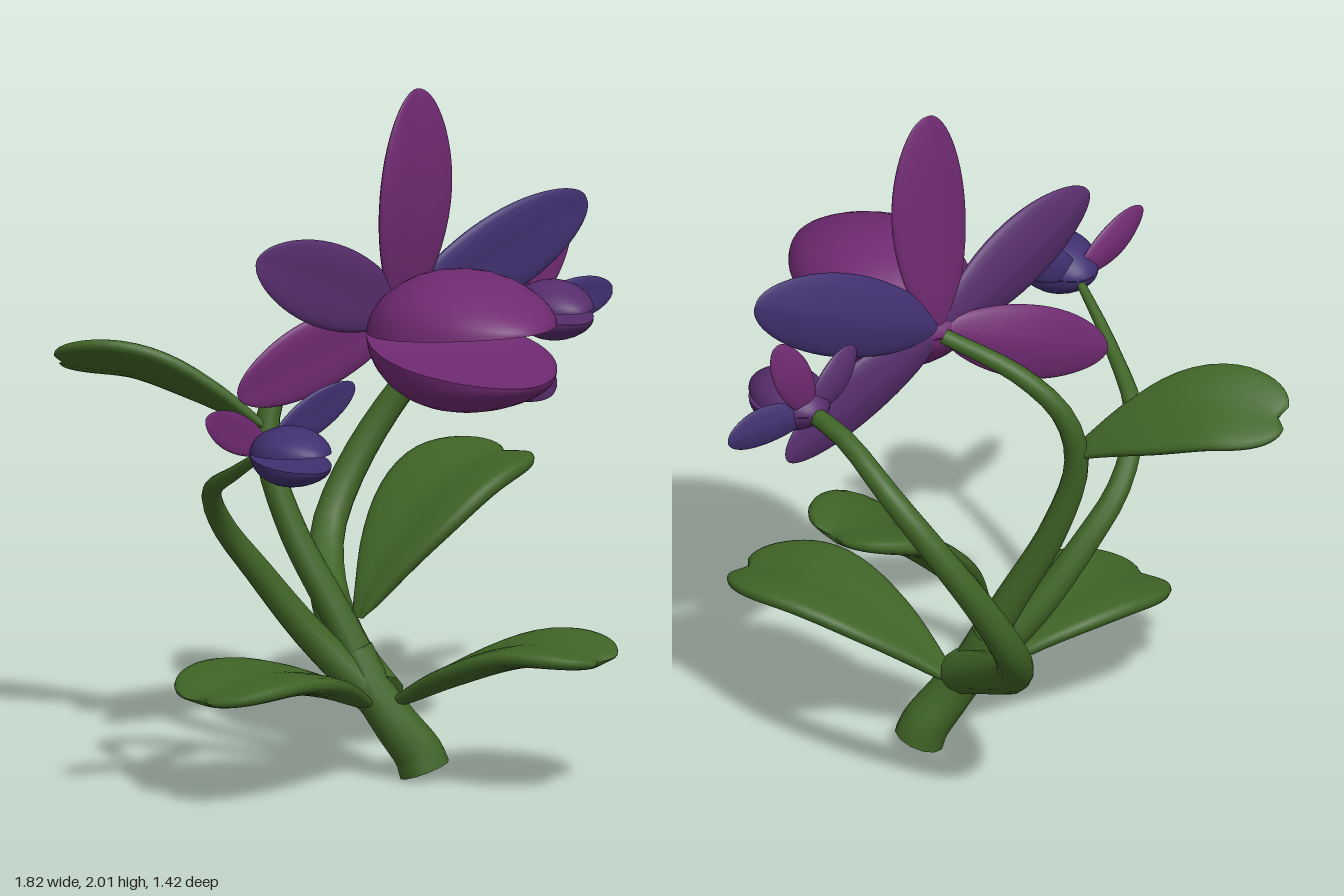
import * as THREE from 'three';
import { toCreasedNormals } from 'three/addons/utils/BufferGeometryUtils.js';

const mat = (color) => new THREE.MeshStandardMaterial({ color, side: THREE.DoubleSide });
const GREEN = mat(0x3f6426), PURPLE = mat(0x702a72), PLUM = mat(0x562d6c), VIOLET = mat(0x403070);
const V = (a) => new THREE.Vector3(...a);
const spline = (pts) => new THREE.CatmullRomCurve3(pts.map(V));

// Closed cross-sections joined along u; point(u, angle) gives each vertex
function loft(point, n, m, crease) {
  const pos = [], idx = [];
  for (let i = 0; i <= n; i++) {
    for (let j = 0; j < m; j++) {
      pos.push(...point(i / n, (j / m) * Math.PI * 2).toArray());
      if (i === n) continue;
      const a = i * m + j, d = i * m + ((j + 1) % m);
      idx.push(a, a + m, d + m, a, d + m, d);
    }
  }
  const geo = new THREE.BufferGeometry();
  geo.setAttribute('position', new THREE.Float32BufferAttribute(pos, 3));
  geo.setIndex(idx);
  geo.computeVertexNormals();
  return crease ? toCreasedNormals(geo, crease) : geo;
}

function add(parent, name, geo, material) {
  const mesh = new THREE.Mesh(geo, material);
  mesh.name = name;
  parent.add(mesh);
}

// Tapering tube with flat ends
function stem(pts, r0, r1) {
  const n = 26, curve = spline(pts), f = curve.computeFrenetFrames(n - 2);
  return loft((u, v) => {
    const i = Math.round(u * n), k = THREE.MathUtils.clamp(i - 1, 0, n - 2);
    const r = i === 0 || i === n ? 0 : THREE.MathUtils.lerp(r0, r1, k / (n - 2));
    return curve.getPointAt(k / (n - 2))
      .addScaledVector(f.binormals[k], Math.cos(v) * r)
      .addScaledVector(f.normals[k], Math.sin(v) * r);
  }, n, 12, 0.9);
}

// Flat blade along a spine: width and thickness vary along it, fold lifts its edges,
// round below 1 makes the edges fuller
function blade(pts, ref, { width, thick, fold, round = 1, notch = 0 }) {
  const curve = spline(pts), up0 = V(ref);
  return loft((k, v) => {
    const u = Math.sin(k * Math.PI / 2); // rings crowd toward the rounded tip
    const c = Math.cos(v), s = Math.sin(v);
    const t = u * (1 - notch * u ** 6 * (1 - Math.abs(c)));
    const T = curve.getTangentAt(t);
    const side = T.clone().cross(up0).normalize();
    const up = side.clone().cross(T);
    const w = width(u);
    return curve.getPointAt(t)
      .addScaledVector(side, c * w)
      .addScaledVector(up, Math.sign(s) * Math.abs(s) ** round * thick(u) + fold * Math.abs(c) * w);
  }, 22, 24);
}

const bulge = (u, p) => Math.max(0, Math.sin(Math.PI * u)) ** p;

// Fleshy leaf with a blunt, slightly notched tip
function leaf(pts, half, fold, thick, ref = [0, 1, 0]) {
  return blade(pts, ref, {
    width: (u) => half * (u < 0.72
      ? 0.12 + 0.88 * Math.sin((u / 0.72) * Math.PI / 2) ** 1.2
      : 0.25 + 0.75 * Math.sqrt(Math.max(0, 1 - ((u - 0.72) / 0.28) ** 2))),
    thick: (u) => thick * bulge(u ** 1.3, 0.28),
    fold, round: 0.6, notch: 0.035,
  });
}

// Blunt petal from a centre to a tip, bowed along z
function petal(from, to, half, bow) {
  const mid = from.map((a, i) => (a + to[i]) / 2 + (i === 2 ? bow : 0));
  return blade([from, mid, to], [0, 0, 1], {
    width: (u) => half * bulge(u ** 1.08, 0.5) + 0.001,
    thick: (u) => half * 0.23 * bulge(u ** 0.9, 0.6),
    fold: 0.12,
  });
}

// One half of the pouch: dir 1 is the upper half, -1 the lower
function pouchHalf(dir, gap) {
  return loft((k, v) => {
    const u = (1 - Math.cos(Math.PI * k)) / 2, s = Math.sin(v);
    const rim = gap * Math.max(0, u - 0.12) + 0.001;
    const height = (0.2 - rim) * bulge(u, 0.62) * (s > 0 ? s : -0.15 * s);
    return new THREE.Vector3(
      -dir * 0.245 * bulge(u, 0.52) * Math.cos(v),
      dir * (rim + height),
      0.66 * u);
  }, 22, 28, 1.0);
}

function pouch(parent, position, scale, gap, material) {
  const group = new THREE.Group();
  group.name = 'pouch';
  add(group, 'upperPouch', pouchHalf(1, gap), material);
  add(group, 'lowerPouch', pouchHalf(-1, gap), material);
  group.position.set(...position);
  group.scale.setScalar(scale);
  parent.add(group);
}

// petals: [name, tip, half width, bow, material]
function flower(parent, name, centre, pouchAt, scale, gap, pouchMat, petals) {
  const group = new THREE.Group();
  group.name = name;
  pouch(group, pouchAt, scale, gap, pouchMat);
  for (const [label, tip, half, bow, m] of petals) {
    add(group, label, petal(centre, tip, half, bow), m);
  }
  parent.add(group);
}

export function createModel() {
  const model = new THREE.Group();
  model.name = 'floweringPlant';

  // Stems
  add(model, 'stemBase', stem([[0.122, 0.015, 0.137], [0.11, 0.06, 0.125], [0.055, 0.15, 0.09], [0.01, 0.24, 0.05], [-0.02, 0.36, 0]], 0.074, 0.05), GREEN);
  add(model, 'mainStem', stem([[0.02, 0.22, 0.05], [-0.05, 0.45, -0.04], [-0.14, 0.72, -0.15],
    [-0.17, 0.95, -0.215], [-0.12, 1.12, -0.215], [-0.03, 1.24, -0.13], [0.1, 1.33, 0.05]], 0.052, 0.023), GREEN);
  add(model, 'rightStem', stem([[0.03, 0.2, 0.06], [-0.15, 0.42, -0.05], [-0.3, 0.62, -0.1],
    [-0.41, 0.75, -0.1], [-0.53, 0.89, -0.01], [-0.61, 1.0, 0.2], [-0.66, 1.12, 0.43]], 0.056, 0.012), GREEN);
  add(model, 'leftStem', stem([[0.03, 0.23, 0.06], [0.07, 0.32, -0.14], [0.17, 0.45, -0.37], [0.27, 0.59, -0.49],
    [0.38, 0.77, -0.5], [0.5, 0.97, -0.44], [0.58, 1.13, -0.33], [0.6, 1.24, -0.15], [0.61, 1.27, 0.0]], 0.066, 0.026), GREEN);

  // Leaves
  add(model, 'lowRightLeaf', leaf([[0.0, 0.2, 0.05], [-0.2, 0.29, 0.06], [-0.42, 0.33, 0.07], [-0.65, 0.31, 0.08]], 0.205, 0.13, 0.034), GREEN);
  add(model, 'highLeftLeaf', leaf([[-0.01, 0.45, 0.0], [0.15, 0.64, 0.0], [0.34, 0.79, 0.0], [0.55, 0.85, 0.0]], 0.215, 0.17, 0.04), GREEN);
  add(model, 'frontLeaf', leaf([[0.05, 0.2, 0.07], [0.14, 0.31, 0.26], [0.24, 0.39, 0.46], [0.34, 0.395, 0.69]], 0.19, 0.15, 0.034), GREEN);
  add(model, 'backLeaf', leaf([[-0.16, 0.97, -0.2], [-0.29, 1.08, -0.35], [-0.43, 1.155, -0.5], [-0.57, 1.155, -0.67]], 0.145, 0.1, 0.028, [0.4, 1, -0.4]), GREEN);

  // Large flower
  flower(model, 'largeFlower', [0.095, 1.34, 0.07], [0.065, 1.32, 0.05], 1, 0.085, PURPLE, [
    ['topPetal', [0.1, 2.0, 0.13], 0.128, 0.01, PURPLE],
    ['upperRightPetal', [-0.47, 1.58, 0.12], 0.12, 0, PLUM],
    ['upperLeftPetal', [0.71, 1.59, 0.13], 0.125, 0, VIOLET],
    ['lowerRightPetal', [-0.42, 1.15, -0.03], 0.11, -0.02, PURPLE],
    ['lowerLeftPetal', [0.59, 1.05, 0.14], 0.1, 0.01, PLUM],
  ]);

  // Small flowers
  flower(model, 'leftFlower', [0.61, 1.27, 0.0], [0.61, 1.275, -0.04], 0.43, 0.04, PLUM, [
    ['topPetal', [0.735, 1.52, 0.0], 0.06, -0.01, PURPLE],
    ['outerPetal', [0.905, 1.27, 0.0], 0.06, 0.01, VIOLET],
    ['innerPetal', [0.44, 1.42, 0.02], 0.055, -0.01, PLUM],
  ]);
  flower(model, 'rightFlower', [-0.67, 1.12, 0.43], [-0.67, 1.12, 0.39], 0.43, 0.06, VIOLET, [
    ['outerPetal', [-0.91, 1.25, 0.45], 0.055, -0.01, PURPLE],
    ['innerPetal', [-0.4, 1.28, 0.48], 0.06, -0.01, VIOLET],
  ]);
  return model;
}
